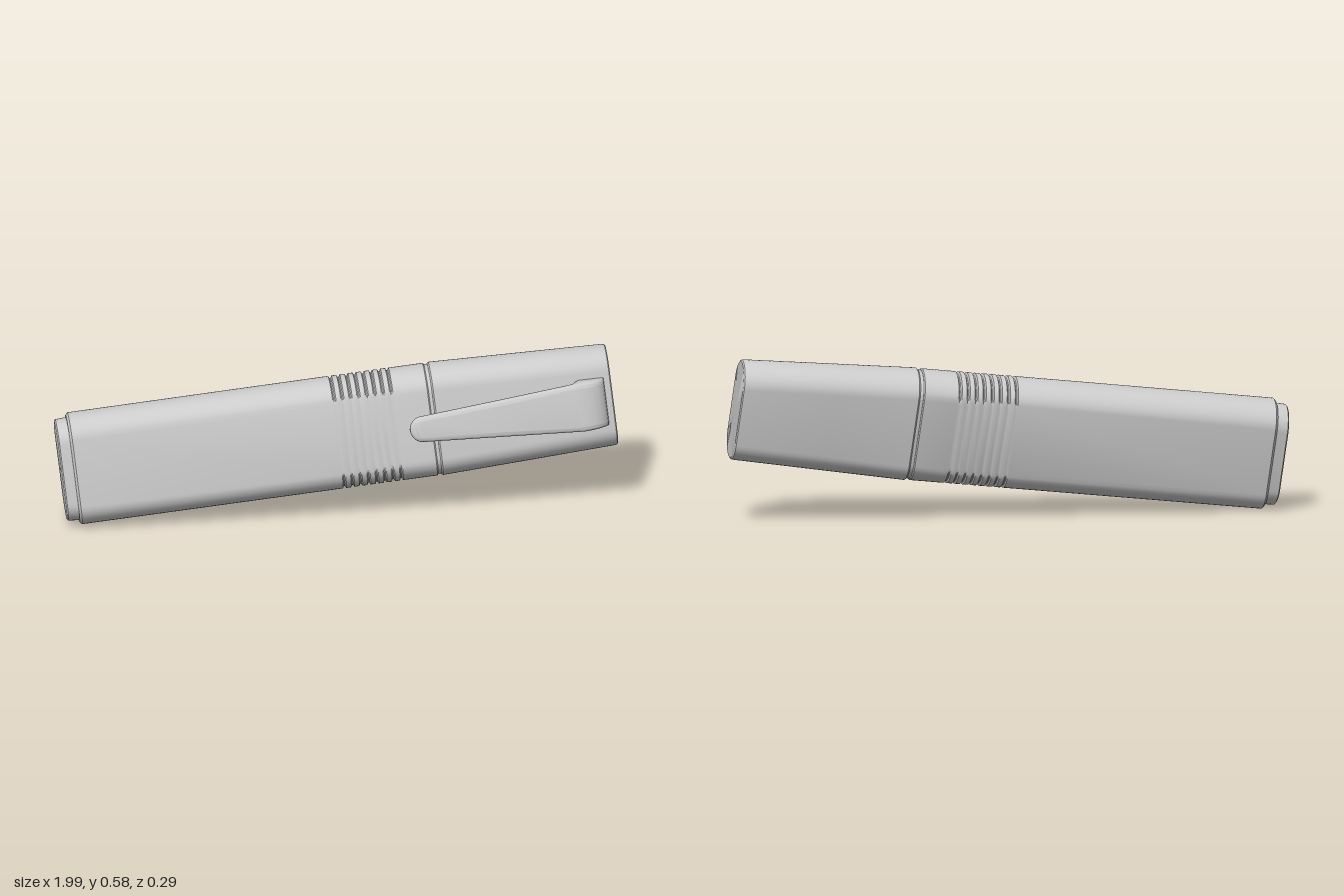
import * as THREE from 'three';
import { toCreasedNormals } from 'three/addons/utils/BufferGeometryUtils.js';

const material = new THREE.MeshStandardMaterial({ color: 0xcccccc });

// Rounded-rectangle outline: half depth hw (z), half height hh (y), corner radii rx, ry
function outline(hw, hh, rx, ry, steps = 10) {
  rx = Math.min(rx, hw);
  ry = Math.min(ry, hh);
  const points = [];
  for (let corner = 0; corner < 4; corner++) {
    const sz = corner === 0 || corner === 3 ? 1 : -1;
    const sy = corner < 2 ? 1 : -1;
    for (let k = 0; k <= steps; k++) {
      const a = (corner + k / steps) * Math.PI / 2;
      points.push([sz * (hw - rx) + rx * Math.cos(a), sy * (hh - ry) + ry * Math.sin(a)]);
    }
  }
  return points;
}

// Skin stations [x, hw, hh, zCentre] along x, closed at both ends
function loft(name, stations, rx, ry, crease = 0.6) {
  const positions = [], index = [];
  let n = 0;
  for (const [x, hw, hh, zc = 0] of stations) {
    const ring = outline(hw, hh, rx, ry);
    n = ring.length;
    for (const [z, y] of ring) positions.push(x, y, z + zc);
  }
  const last = stations.length - 1;
  for (let i = 0; i < last; i++) {
    for (let j = 0; j < n; j++) {
      const a = i * n + j, b = i * n + (j + 1) % n, c = a + n, d = b + n;
      index.push(a, c, b, b, c, d);
    }
  }
  const start = positions.length / 3;
  for (const s of [stations[0], stations[last]]) positions.push(s[0], 0, s[3] ?? 0);
  for (let j = 0; j < n; j++) {
    const k = (j + 1) % n;
    index.push(start, j, k, start + 1, last * n + k, last * n + j);
  }
  const geometry = new THREE.BufferGeometry();
  geometry.setAttribute('position', new THREE.Float32BufferAttribute(positions, 3));
  geometry.setIndex(index);
  const mesh = new THREE.Mesh(toCreasedNormals(geometry, crease), material);
  mesh.name = name;
  return mesh;
}

export function createModel() {
  const pen = new THREE.Group();
  pen.name = 'marker';

  // End plug with a small vent hole
  pen.add(loft('endPlug', [
    [-0.965, 0.006, 0.006], [-0.985, 0.009, 0.009],
    [-0.985, 0.080, 0.176], [-0.980, 0.087, 0.183], [-0.92, 0.090, 0.186],
  ], 0.2, 0.075));

  // Barrel with grip grooves on its narrow rounded edges
  const barrel = [[-0.942, 0.093, 0.193], [-0.934, 0.101, 0.201]];
  for (let i = 0; i < 8; i++) {
    const x = 0.002 + i * 0.029;
    barrel.push([x - 0.006, 0.103, 0.202], [x - 0.002, 0.102, 0.194],
      [x + 0.002, 0.102, 0.194], [x + 0.006, 0.103, 0.202]);
  }
  barrel.push([0.332, 0.104, 0.202], [0.336, 0.101, 0.199]);
  pen.add(loft('barrel', barrel, 0.2, 0.08));

  // Recessed seam between barrel and cap
  pen.add(loft('seam', [[0.32, 0.099, 0.197], [0.37, 0.099, 0.197]], 0.2, 0.08));

  // Tapering cap
  pen.add(loft('cap', [
    [0.348, 0.101, 0.199], [0.353, 0.105, 0.203], [0.65, 0.100, 0.193],
    [0.968, 0.094, 0.182], [0.977, 0.092, 0.180], [0.981, 0.087, 0.175],
  ], 0.2, 0.078));

  // Clip: rounded free tip, widening arm, root bending into the cap
  const clip = [];
  const addClip = (x, inner, outer, hh) =>
    clip.push([x, (outer - inner) / 2, hh, (outer + inner) / 2]);
  for (let i = 0; i <= 8; i++) {
    const t = i / 8 * Math.PI / 2;
    addClip(0.297 - 0.045 * Math.cos(t), 0.122, 0.150 + 0.006 * Math.sin(t),
      Math.max(0.004, 0.046 * Math.sin(t)));
  }
  addClip(0.6, 0.124, 0.157, 0.068);
  addClip(0.84, 0.124, 0.157, 0.086);
  addClip(0.865, 0.08, 0.156, 0.088);
  for (let i = 1; i <= 6; i++) {
    const t = i / 6 * Math.PI / 2;
    addClip(0.865 + 0.09 * Math.sin(t), 0.08, 0.098 + 0.058 * Math.cos(t), 0.088 - 0.003 * i / 6);
  }
  pen.add(loft('clip', clip, 0.014, 0.02));

  // Resting pose: slight pitch, yaw and roll
  pen.rotation.set(-0.19, 0.01, 0.108, 'ZYX');
  pen.position.set(0, 0.306, -0.018);
  const model = new THREE.Group();
  model.name = 'markerPen';
  model.add(pen);
  return model;
}
